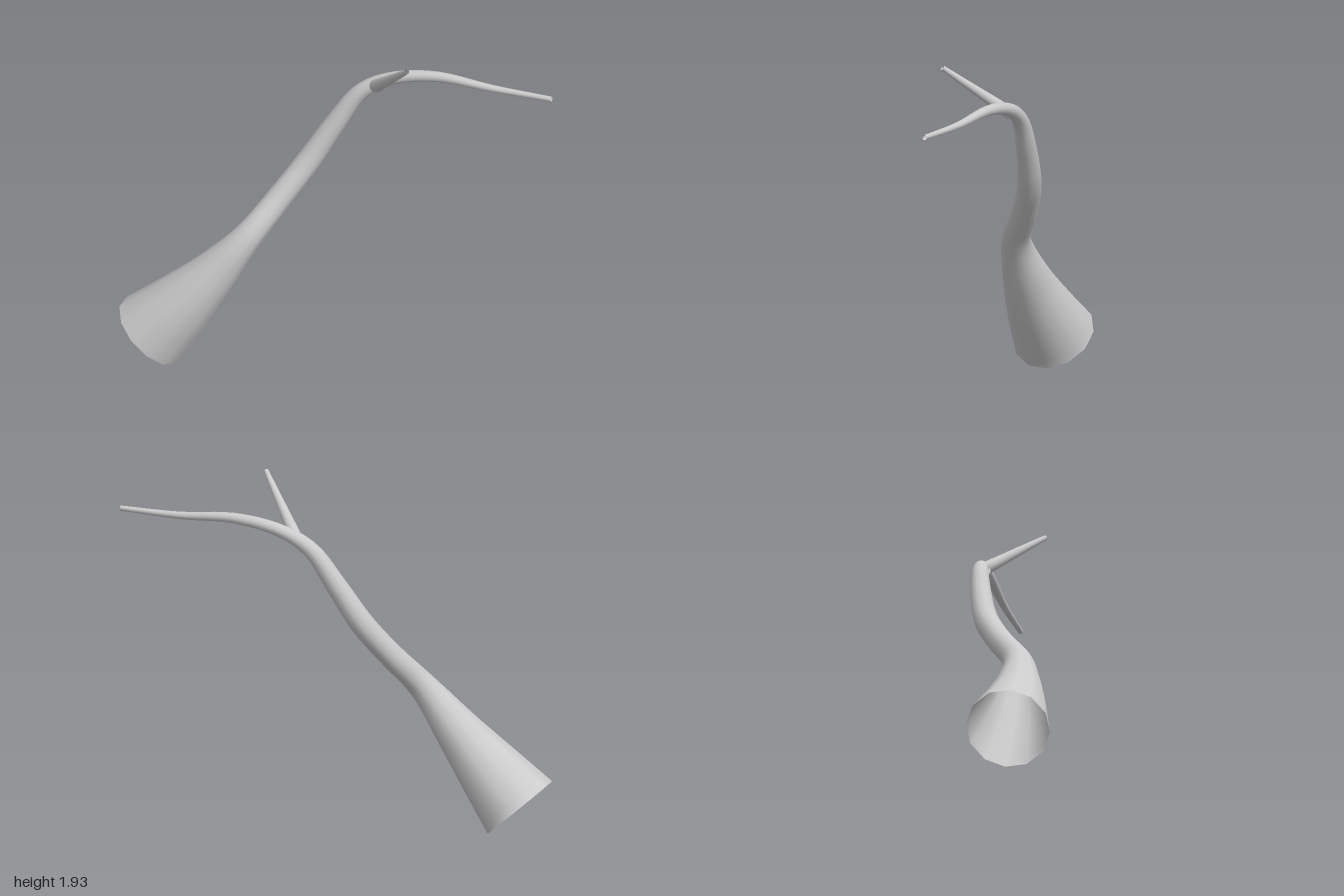
import * as THREE from 'three';
import { mergeVertices } from 'three/addons/utils/BufferGeometryUtils.js';

const SIDES = 12;

// Open tapered tube through rows of [x, y, z, radius]
function taperedTube(name, rows, rings, material) {
  const path = new THREE.CatmullRomCurve3(rows.map(([x, y, z]) => new THREE.Vector3(x, y, z)));
  const radii = new THREE.CatmullRomCurve3(
    rows.map((row) => new THREE.Vector3(row[3], 0, 0)), false, 'catmullrom');
  const tube = new THREE.TubeGeometry(path, rings, 1, SIDES);
  const pos = tube.attributes.position;
  const v = new THREE.Vector3();
  for (let i = 0; i <= rings; i++) {
    const centre = path.getPointAt(i / rings);
    const r = radii.getPoint(path.getUtoTmapping(i / rings)).x;
    for (let j = 0; j <= SIDES; j++) {
      const k = i * (SIDES + 1) + j;
      v.fromBufferAttribute(pos, k).sub(centre).multiplyScalar(r).add(centre);
      pos.setXYZ(k, v.x, v.y, v.z);
    }
  }
  // Weld the seam so shading is smooth all around
  tube.deleteAttribute('uv');
  tube.deleteAttribute('normal');
  const geometry = mergeVertices(tube, 1e-5);
  geometry.computeVertexNormals();
  const mesh = new THREE.Mesh(geometry, material);
  mesh.name = name;
  return mesh;
}

export function createModel() {
  const group = new THREE.Group();
  group.name = 'branch';
  const material = new THREE.MeshStandardMaterial({ color: 0xcccccc, side: THREE.DoubleSide });

  // Main limb: flared open base, winding up to a thin tip
  group.add(taperedTube('mainLimb', [
    [-0.475, 0.15, -0.825, 0.227],
    [-0.41, 0.34, -0.67, 0.18],
    [-0.335, 0.54, -0.52, 0.13],
    [-0.225, 0.785, -0.365, 0.08],
    [-0.05, 0.99, -0.28, 0.069],
    [0.09, 1.18, -0.2, 0.066],
    [0.19, 1.4, -0.1, 0.057],
    [0.27, 1.595, 0.01, 0.045],
    [0.35, 1.69, 0.15, 0.036],
    [0.455, 1.74, 0.38, 0.029],
    [0.57, 1.725, 0.68, 0.02],
    [0.68, 1.727, 1.0, 0.014],
  ], 60, material));

  // Straight side twig
  group.add(taperedTube('sideTwig', [
    [0.293, 1.65, 0.095, 0.036],
    [0.217, 1.787, 0.267, 0.025],
    [0.14, 1.925, 0.44, 0.014],
  ], 8, material));

  return group;
}
